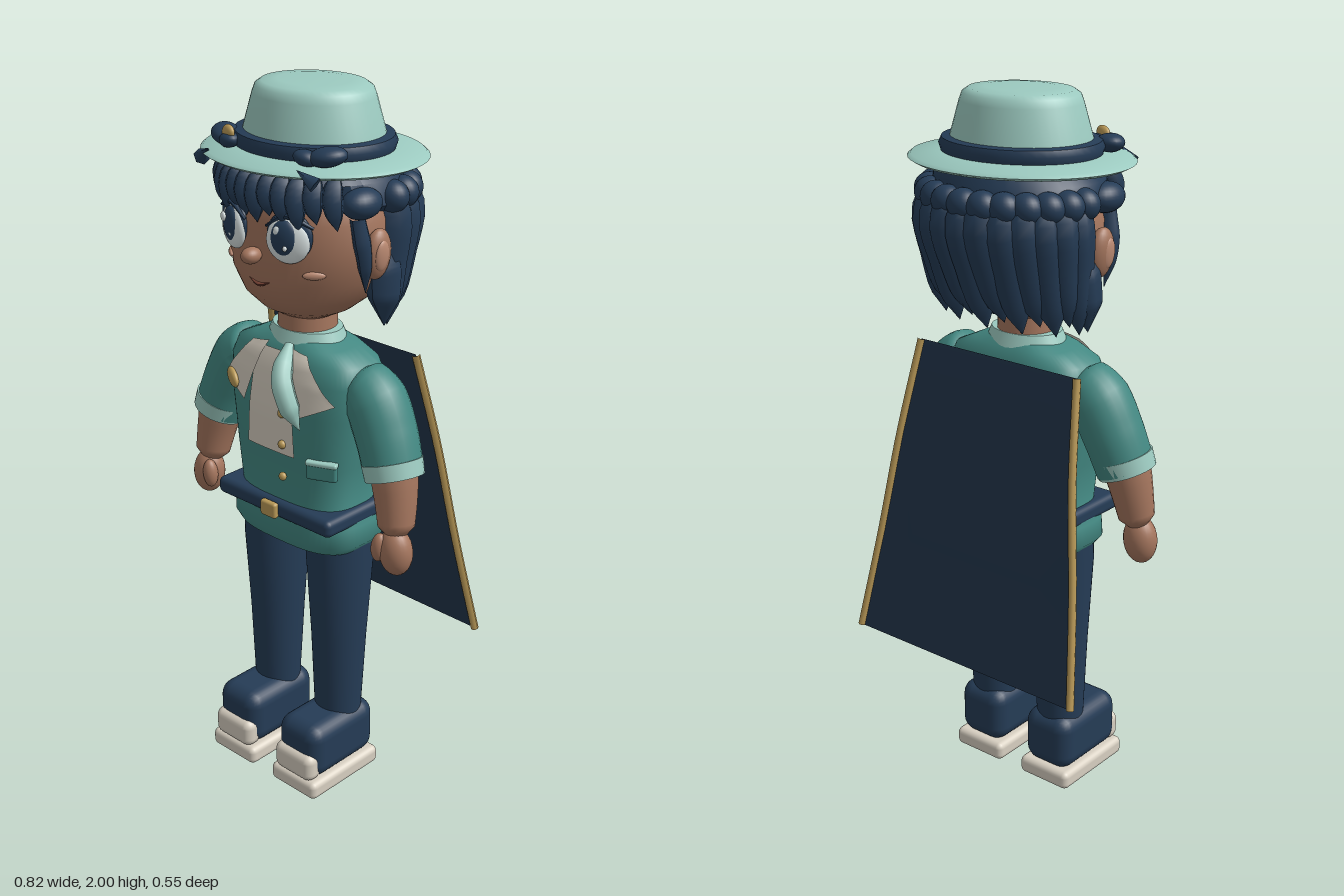
import * as THREE from 'three';
import { toCreasedNormals } from 'three/addons/utils/BufferGeometryUtils.js';
import { RoundedBoxGeometry } from 'three/addons/geometries/RoundedBoxGeometry.js';

const V = (a) => new THREE.Vector3(...a);
const mat = (name, color, side = THREE.FrontSide) => {
  const m = new THREE.MeshStandardMaterial({ color, side });
  m.name = name;
  return m;
};

// Sections are [y, halfWidth, halfDepth, centreZ], listed upwards; n is the superellipse power
function loft(sections, n = 2, N = 40) {
  const pos = [], idx = [];
  const p = (v) => Math.sign(v) * Math.abs(v) ** (2 / n);
  sections.forEach(([y, rx, rz, cz], j) => {
    for (let i = 0; i < N; i++) {
      const a = (i / N) * Math.PI * 2;
      pos.push(rx * p(Math.cos(a)), y, cz + rz * p(Math.sin(a)));
      if (j === sections.length - 1) continue;
      const q = j * N + i, r = j * N + ((i + 1) % N);
      idx.push(q, q + N, r, r, q + N, r + N);
    }
  });
  const g = new THREE.BufferGeometry();
  g.setAttribute('position', new THREE.Float32BufferAttribute(pos, 3));
  g.setIndex(idx);
  return toCreasedNormals(g, 0.8);
}

// Front depth of a loft at (x, y)
function frontZ(sections, n, x, y) {
  let k = 0;
  while (k < sections.length - 2 && sections[k + 1][0] < y) k++;
  const A = sections[k], B = sections[k + 1], t = (y - A[0]) / (B[0] - A[0]);
  const [, rx, rz, cz] = A.map((v, i) => v + (B[i] - v) * t);
  return cz + rz * Math.max(0, 1 - Math.abs(x / rx) ** n) ** (1 / n);
}

// Tube whose radius follows a list of values along its path
function taper(points, radii, sides = 14, steps = 20) {
  const curve = new THREE.CatmullRomCurve3(points.map(V));
  const g = new THREE.TubeGeometry(curve, steps, 1, sides);
  const P = g.attributes.position, v = new THREE.Vector3();
  for (let i = 0; i < P.count; i++) {
    const t = Math.floor(i / (sides + 1)) / steps, c = curve.getPointAt(t);
    const f = t * (radii.length - 1), k = Math.min(Math.floor(f), radii.length - 2);
    const r = radii[k] + (radii[k + 1] - radii[k]) * (f - k);
    v.fromBufferAttribute(P, i).sub(c).multiplyScalar(r).add(c);
    P.setXYZ(i, v.x, v.y, v.z);
  }
  g.computeVertexNormals();
  return g;
}

const TORSO = [[0.75, 0.01, 0.01, 0.03], [0.75, 0.205, 0.125, 0.03], [0.775, 0.225, 0.135, 0.03], [0.83, 0.22, 0.135, 0.03],
  [0.88, 0.195, 0.125, 0.03], [1.0, 0.205, 0.13, 0.033], [1.15, 0.225, 0.13, 0.033], [1.24, 0.235, 0.122, 0.03],
  [1.29, 0.215, 0.11, 0.03], [1.32, 0.15, 0.095, 0.03], [1.34, 0.09, 0.075, 0.03]];
const HEAD = [[1.39, 0.01, 0.01, 0.04], [1.395, 0.08, 0.065, 0.04], [1.42, 0.13, 0.12, 0.03], [1.46, 0.178, 0.17, 0.02],
  [1.52, 0.218, 0.195, 0.015], [1.6, 0.238, 0.203, 0.012], [1.68, 0.235, 0.203, 0.01], [1.76, 0.205, 0.19, 0.005],
  [1.82, 0.14, 0.14, 0], [1.85, 0.01, 0.01, 0]];

export function createModel() {
  const root = new THREE.Group();
  root.name = 'figure';
  const teal = mat('teal', 0x438882), mint = mat('mint', 0x9ccac0), navy = mat('navy', 0x253c56);
  const cape = mat('cape navy', 0x22354b, THREE.DoubleSide), cream = mat('cream', 0xd8d0c2, THREE.DoubleSide);
  const skin = mat('skin', 0xa5765e), gold = mat('gold', 0xba9a58), white = mat('eye white', 0xdde6e6);
  const blush = mat('blush', 0xbb8a72), lip = mat('lip', 0x7c4638);
  const add = (name, geo, m, pos = [0, 0, 0], rot = [0, 0, 0]) => {
    const o = new THREE.Mesh(geo, m);
    o.name = name;
    o.position.set(...pos);
    o.rotation.set(...rot);
    root.add(o);
    return o;
  };
  const ball = (name, m, pos, size, rot) => {
    const o = add(name, new THREE.SphereGeometry(1, 24, 16), m, pos, rot);
    o.scale.set(...size);
    return o;
  };
  const box = (name, m, size, pos, r = 0.02, rot) => add(name, new RoundedBoxGeometry(...size, 3, r), m, pos, rot);
  // Thin cloth panel laid over the chest; corners: top left, top right, bottom left, bottom right
  const panel = (name, m, [a, b, c, d], lift) => {
    const g = new THREE.PlaneGeometry(1, 1, 8, 10), P = g.attributes.position;
    for (let i = 0; i < P.count; i++) {
      const u = P.getX(i) + 0.5, w = 0.5 - P.getY(i);
      const [x, y] = [0, 1].map((k) => (a[k] * (1 - u) + b[k] * u) * (1 - w) + (c[k] * (1 - u) + d[k] * u) * w);
      P.setXYZ(i, x, y, frontZ(TORSO, 3, x, y) + lift);
    }
    g.computeVertexNormals();
    return add(name, g, m);
  };

  // Torso and clothing
  add('jacket', loft(TORSO, 3, 60), teal);
  panel('bib', cream, [[-0.07, 1.31], [0.07, 1.31], [-0.09, 1.03], [0.085, 1.03]], 0.012);
  for (const s of [-1, 1]) {
    panel('lapel', cream, [[s * 0.1, 1.315], [s * 0.04, 1.325], [s * 0.2, 1.2], [s * 0.1, 1.15]], 0.016);
  }
  const collar = add('collar', new THREE.CylinderGeometry(0.105, 0.125, 0.045, 32), mint, [0, 1.335, 0.03]);
  collar.scale.z = 0.78;
  add('scarfTail', taper([[0.03, 1.33, 0.13], [0.06, 1.26, 0.19], [0.09, 1.2, 0.2], [0.12, 1.125, 0.185]],
    [0.012, 0.027, 0.03, 0.028, 0], 8), mint);
  for (const y of [1.15, 1.06, 0.965]) {
    ball('button', gold, [0.045, y, frontZ(TORSO, 3, 0.045, y) + 0.015], [0.012, 0.012, 0.01]);
  }
  ball('brooch', gold, [-0.155, 1.195, frontZ(TORSO, 3, 0.155, 1.195) + 0.02], [0.034, 0.022, 0.012], [0, -0.4, -0.5]);
  box('pocket', teal, [0.088, 0.05, 0.02], [0.16, 1.005, 0.143], 0.008, [0, 0.4, 0]);
  box('pocketTrim', mint, [0.09, 0.014, 0.024], [0.16, 1.028, 0.144], 0.006, [0, 0.4, 0]);
  box('belt', navy, [0.43, 0.05, 0.285], [0, 0.855, 0.035], 0.018);
  box('buckle', gold, [0.058, 0.046, 0.02], [0, 0.855, 0.183], 0.008);
  add('neck', new THREE.CylinderGeometry(0.078, 0.082, 0.12, 28), skin, [0, 1.385, 0.03]);

  // Arms, legs and shoes
  for (const s of [-1, 1]) {
    add('sleeve', taper([[s * 0.16, 1.25, 0.03], [s * 0.235, 1.215, 0.03], [s * 0.29, 1.12, 0.035], [s * 0.328, 1.02, 0.045]],
      [0, 0.075, 0.085, 0.085, 0.084, 0.082, 0.08], 24, 24), teal);
    add('cuff', new THREE.CylinderGeometry(0.083, 0.08, 0.045, 28), mint, [s * 0.325, 1.035, 0.045], [-0.1, 0, s * 0.33]);
    add('forearm', taper([[s * 0.325, 1.05, 0.045], [s * 0.345, 0.95, 0.055], [s * 0.362, 0.83, 0.07]],
      [0.066, 0.062, 0.056, 0.05, 0], 20), skin);
    ball('hand', skin, [s * 0.363, 0.815, 0.072], [0.048, 0.068, 0.044], [0, 0, s * 0.1]);
    ball('thumb', skin, [s * 0.328, 0.825, 0.1], [0.022, 0.042, 0.022], [0, 0, s * -0.1]);

    const leg = add('trouserLeg', loft([[0.18, 0.068, 0.064, 0.035], [0.45, 0.078, 0.08, 0.032], [0.7, 0.09, 0.1, 0.03],
      [0.8, 0.09, 0.1, 0.03]]), navy);
    leg.position.x = s * 0.123;
    box('shoe', navy, [0.16, 0.17, 0.262], [s * 0.124, 0.135, 0.085], 0.045);
    box('sole', cream, [0.174, 0.055, 0.28], [s * 0.124, 0.0275, 0.09], 0.018);
    box('toeCap', cream, [0.145, 0.085, 0.06], [s * 0.124, 0.095, 0.203], 0.025);
  }

  // Cape with gold edges
  const rows = [[1.3, 0.27, -0.1], [1.03, 0.305, -0.16], [0.74, 0.345, -0.205], [0.44, 0.385, -0.262]];
  const cloth = new THREE.PlaneGeometry(2, 3, 6, 3), C = cloth.attributes.position;
  for (let i = 0; i < C.count; i++) {
    const [y, w, z] = rows[Math.floor(i / 7)];
    C.setXYZ(i, C.getX(i) * w, y, z);
  }
  cloth.computeVertexNormals();
  add('cape', cloth, cape);
  for (const s of [-1, 1]) {
    add('capeTrim', taper(rows.map(([y, w, z]) => [s * w, y, z]), [0.011, 0.011], 8), gold);
  }

  // Head and face
  add('head', loft(HEAD, 2, 48), skin);
  const faceZ = (x, y) => frontZ(HEAD, 2, x, y);
  ball('nose', skin, [0, 1.59, 0.235], [0.024, 0.022, 0.03]);
  add('mouth', taper([[-0.036, 1.518, faceZ(0.036, 1.518)], [0, 1.508, faceZ(0, 1.508) + 0.003], [0.036, 1.518, faceZ(0.036, 1.518)]],
    [0.001, 0.006, 0.001], 8), lip);
  for (const s of [-1, 1]) {
    const x = s * 0.097, z = faceZ(0.097, 1.645), yaw = [0, s * 0.35, 0];
    ball('eyeRim', navy, [x, 1.652, z - 0.002], [0.063, 0.064, 0.02], yaw);
    ball('eyeWhite', white, [x, 1.642, z + 0.004], [0.06, 0.06, 0.022], yaw);
    ball('iris', navy, [x - s * 0.002, 1.648, z + 0.013], [0.04, 0.048, 0.019], yaw);
    ball('eyeGlint', white, [x - 0.014, 1.668, z + 0.029], [0.011, 0.013, 0.006], yaw);
    ball('eyeGlint', white, [x + 0.012, 1.628, z + 0.029], [0.006, 0.007, 0.005], yaw);
    add('eyelash', taper([[x - s * 0.06, 1.672, z + 0.022], [x, 1.707, z + 0.012], [x + s * 0.068, 1.68, z - 0.018]],
      [0.003, 0.009, 0.004], 8), navy);
    ball('cheek', blush, [s * 0.15, 1.552, faceZ(0.15, 1.552)], [0.03, 0.011, 0.008], [0, s * 0.75, 0]);
    ball('ear', skin, [s * 0.243, 1.6, 0.03], [0.028, 0.068, 0.042], [0, 0, s * -0.1]);
    ball('innerEar', blush, [s * 0.262, 1.6, 0.035], [0.012, 0.042, 0.024], [0, 0, s * -0.1]);
  }

  // Hair: cap, crown tufts, hanging back strands, fringe and side locks
  add('hairCap', loft([[1.7, 0.23, 0.18, -0.035], [1.72, 0.248, 0.205, -0.02], [1.78, 0.235, 0.212, 0], [1.82, 0.19, 0.19, 0]]), navy);
  ball('hairBack', navy, [0, 1.61, -0.085], [0.215, 0.19, 0.13]);
  for (let i = 0; i < 13; i++) {
    const a = ((i / 12) * 2 - 1) * 1.5, sx = Math.sin(a), c = Math.cos(a), tip = 1.39 + (i % 2) * 0.025;
    add('backStrand', taper([[0.18 * sx, 1.79, -0.02 - 0.12 * c], [0.225 * sx, 1.7, -0.04 - 0.185 * c],
      [0.222 * sx, 1.55, -0.035 - 0.15 * c], [0.225 * sx, tip, -0.025 - 0.11 * c]],
    [0, 0.04, 0.048, 0.047, 0.044, 0.036, 0], 7, 14), navy);
    ball('crownTuft', navy, [0.235 * sx, 1.735, -0.02 - 0.205 * c], [0.045, 0.042, 0.04]);
  }
  for (let i = 0; i < 11; i++) {
    const x = (i - 5) * 0.039, z = 0.2 * Math.sqrt(1 - (x / 0.25) ** 2) + 0.015;
    const tip = 1.7 - (i % 3) * 0.013 - Math.abs(x) * 0.06;
    add('fringeStrand', taper([[x * 0.95, 1.81, z - 0.02], [x, 1.76, z + 0.005], [x * 1.05 + 0.008, tip, z + 0.004]],
      [0.01, 0.026, 0.028, 0.022, 0], 7, 10), navy);
  }
  for (const s of [-1, 1]) {
    add('sideLock', taper([[s * 0.225, 1.7, 0.085], [s * 0.24, 1.6, 0.075], [s * 0.232, 1.5, 0.06]], [0.02, 0.024, 0.018, 0], 7), navy);
    add('hangingLock', taper([[s * 0.21, 1.62, -0.03], [s * 0.225, 1.52, -0.02], [s * 0.235, 1.395, -0.01]], [0.03, 0.05, 0.045, 0], 7), navy);
    ball('templeTuft', navy, [s * 0.225, 1.735, 0.07], [0.045, 0.04, 0.06]);
  }

  // Hat with band, bow and ornament
  const lathe = (name, m, pts) => {
    const g = new THREE.LatheGeometry(pts.map((p) => new THREE.Vector2(...p)), 48);
    const o = add(name, toCreasedNormals(g, 0.9), m, [0, 0, 0.005]);
    o.scale.z = 0.86;
  };
  lathe('hatBrim', mint, [[0, 1.8], [0.2, 1.8], [0.3, 1.812], [0.315, 1.82], [0.305, 1.828], [0.2, 1.84], [0, 1.84]]);
  lathe('hatCrown', mint, [[0.208, 1.83], [0.195, 1.88], [0.17, 1.965], [0.162, 1.985], [0.145, 1.996], [0.1, 2], [0, 2]]);
  lathe('hatBand', navy, [[0.2, 1.835], [0.222, 1.837], [0.228, 1.855], [0.22, 1.872], [0.19, 1.876]]);
  for (const s of [-1, 1]) {
    ball('hatBow', navy, [s * 0.18, 1.857, 0.145], [0.05, 0.025, 0.038], [0, s * 0.6, s * 0.15]);
    ball('hatBow', navy, [s * 0.135, 1.852, 0.175], [0.034, 0.02, 0.026], [0, s * 0.4, s * -0.2]);
    add('hatTuft', new THREE.ConeGeometry(0.022, 0.06, 6), navy, [s * 0.178, 1.82, 0.22], [0.5, 0, s * 0.9]);
  }
  ball('hatOrnament', gold, [-0.135, 1.872, 0.178], [0.027, 0.02, 0.012], [0, -0.3, 0.2]);
  return root;
}
